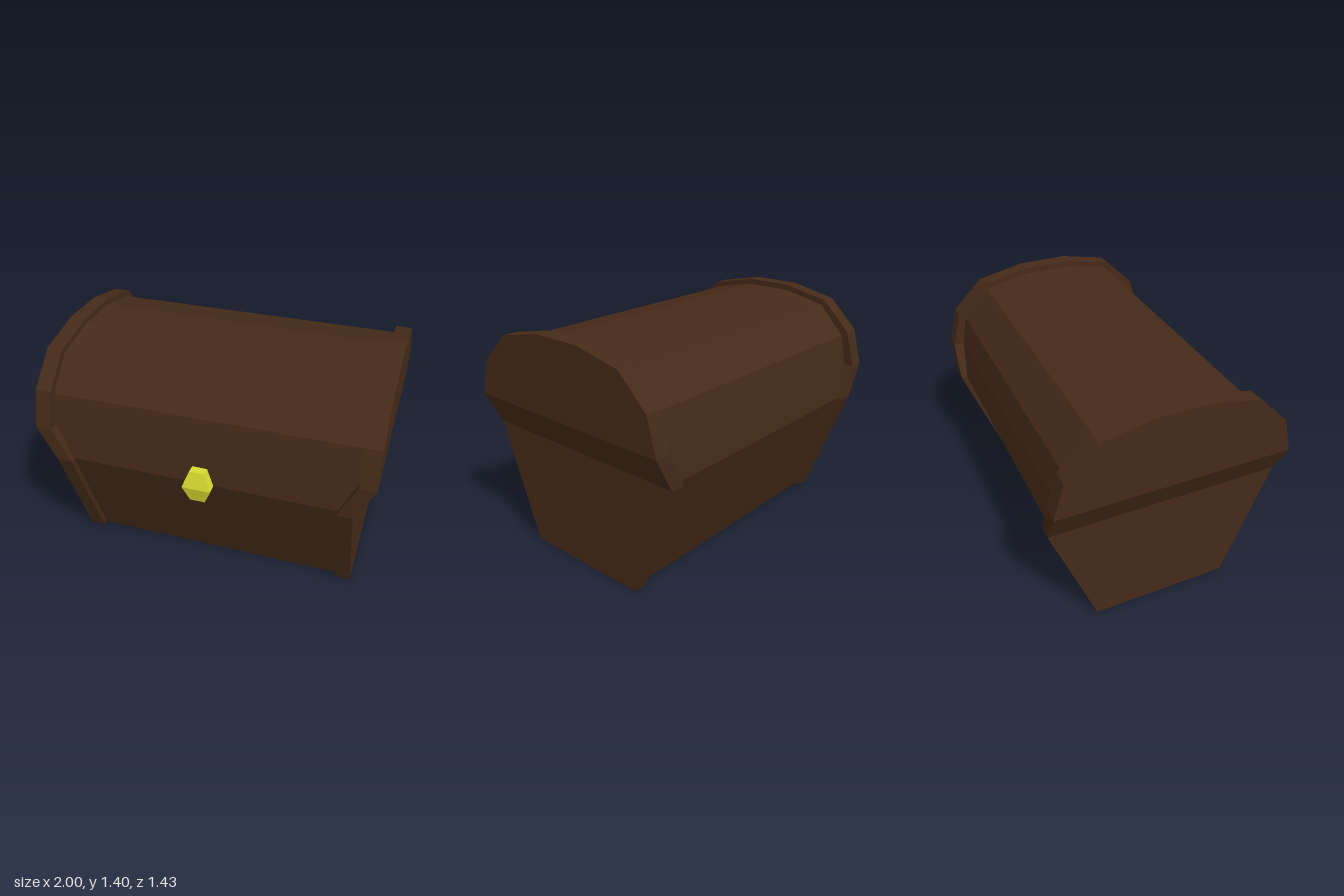
import * as THREE from 'three';

// Stacks rectangular rings [y, x0, x1, zFront, zBack] from bottom to top into a closed faceted solid.
function loft(rings) {
  const points = rings.map(([y, x0, x1, zf, zb]) => [
    [x0, y, zf], [x1, y, zf], [x1, y, zb], [x0, y, zb],
  ]);
  const pos = [];
  const quad = (a, b, c, d) => pos.push(...a, ...b, ...c, ...a, ...c, ...d);
  for (let i = 0; i < points.length - 1; i++) {
    const lo = points[i], hi = points[i + 1];
    for (let j = 0; j < 4; j++) {
      const k = (j + 1) % 4;
      quad(lo[j], lo[k], hi[k], hi[j]);
    }
  }
  const top = points[points.length - 1], bottom = points[0];
  quad(top[0], top[1], top[2], top[3]);
  quad(bottom[3], bottom[2], bottom[1], bottom[0]);
  const geo = new THREE.BufferGeometry();
  geo.setAttribute('position', new THREE.Float32BufferAttribute(pos, 3));
  geo.computeVertexNormals();
  return geo;
}

export function createModel() {
  const group = new THREE.Group();
  const wood = new THREE.MeshStandardMaterial({ color: 0x452a18, flatShading: true });
  const brass = new THREE.MeshStandardMaterial({ color: 0xd8dc30, flatShading: true });
  const add = (name, geometry, material) => {
    const mesh = new THREE.Mesh(geometry, material);
    mesh.name = name;
    group.add(mesh);
  };
  const zMid = -0.0125;

  // End panels: [height, half depth, inner x, outer x], flaring outward at the lid
  const end = [
    [0, 0.42, 0.8, 0.89],
    [0.73, 0.7, 0.8, 0.89],
    [0.94, 0.7, 0.905, 1],
    [1.16, 0.64, 0.905, 1],
    [1.343, 0.453, 0.905, 1],
    [1.405, 0.155, 0.905, 1],
  ];
  for (const side of [-1, 1]) {
    const rings = end.map(([y, d, xi, xo]) => [
      y, Math.min(side * xi, side * xo), Math.max(side * xi, side * xo), zMid + d, zMid - d,
    ]);
    add(side > 0 ? 'leftEndPanel' : 'rightEndPanel', loft(rings), wood);
  }

  // Chest body and domed lid, set in slightly between the end panels: [height, half depth, half width]
  const body = [
    [0, 0.385, 0.8],
    [0.73, 0.662, 0.8],
    [0.94, 0.635, 0.905],
    [1.13, 0.6, 0.905],
    [1.31, 0.432, 0.905],
    [1.37, 0.153, 0.905],
  ];
  add('chestBody', loft(body.map(([y, d, w]) => [y, -w, w, zMid + d, zMid - d])), wood);

  // Faceted clasp on the front
  add('clasp', loft([
    [0.63, -0.045, 0.045, 0.688, 0.5],
    [0.73, -0.085, 0.085, 0.713, 0.5],
    [0.833, -0.045, 0.045, 0.688, 0.5],
  ]), brass);

  return group;
}
